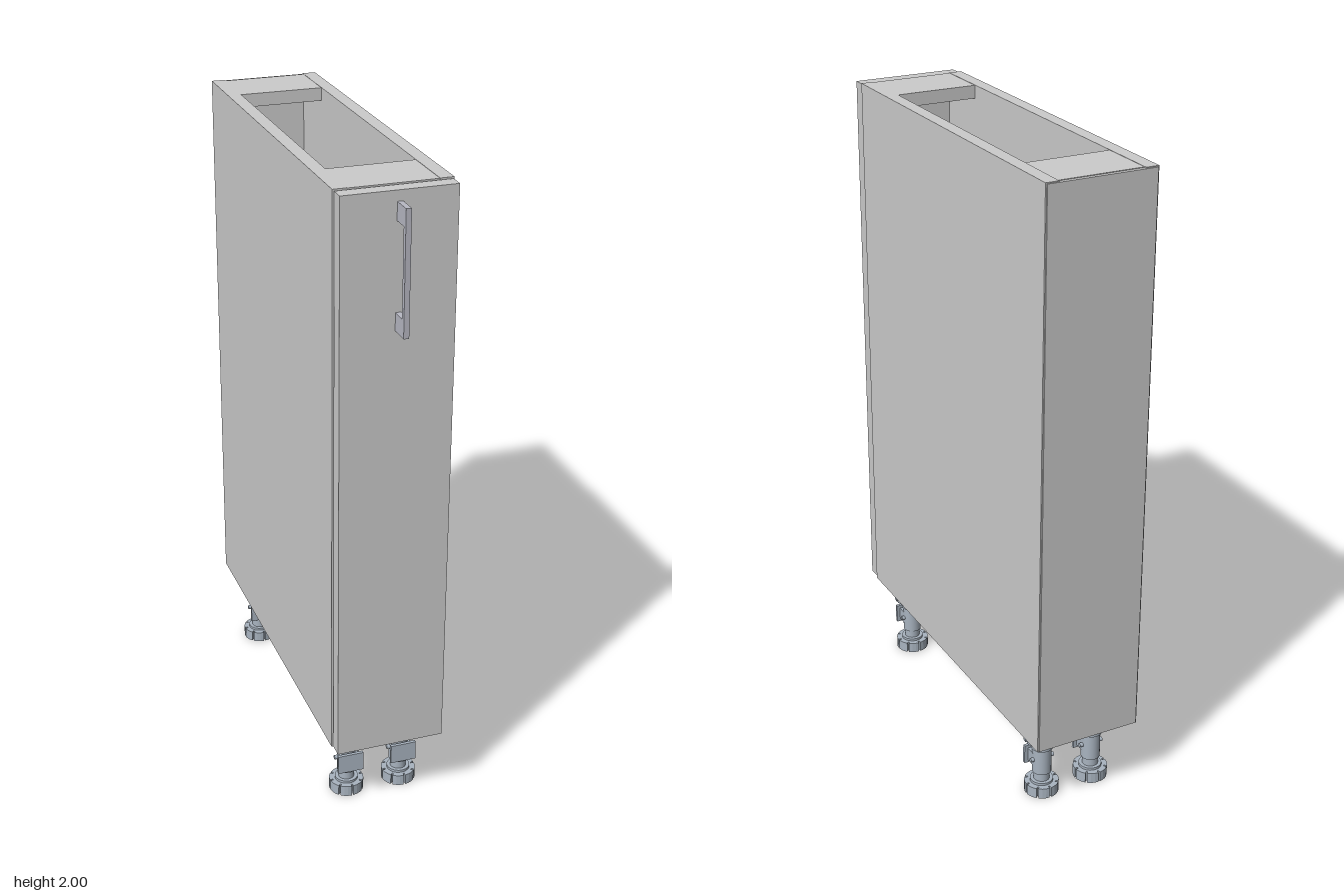
import * as THREE from 'three';

const grey = new THREE.MeshStandardMaterial({ color: 0xcccccc });
const metal = new THREE.MeshStandardMaterial({ color: 0xa9b4c0 });
const facetedMetal = new THREE.MeshStandardMaterial({ color: 0xa9b4c0, flatShading: true });
const steel = new THREE.MeshStandardMaterial({ color: 0xb8b9c4 });

function add(parent, name, geometry, material, x = 0, y = 0, z = 0) {
  const mesh = new THREE.Mesh(geometry, material);
  mesh.name = name;
  mesh.position.set(x, y, z);
  parent.add(mesh);
  return mesh;
}

// Box given by its limits on each axis
function box(parent, name, material, [x0, x1], [y0, y1], [z0, z1]) {
  return add(parent, name, new THREE.BoxGeometry(x1 - x0, y1 - y0, z1 - z0), material,
    (x0 + x1) / 2, (y0 + y1) / 2, (z0 + z1) / 2);
}

function cylinder(parent, name, radius, y0, y1, sides = 24) {
  return add(parent, name, new THREE.CylinderGeometry(radius, radius, y1 - y0, sides), metal, 0, (y0 + y1) / 2, 0);
}

// Disc with square notches around its rim, standing from y0 to y1
function notchedDisc(parent, name, radius, inner, teeth, y0, y1) {
  const shape = new THREE.Shape();
  for (let i = 0; i < teeth; i++) {
    const a = (i / teeth) * Math.PI * 2, step = (Math.PI * 2) / teeth;
    for (const [t, r] of [[0, inner], [0.14, inner], [0.14, radius], [0.43, radius], [0.72, radius], [1, radius]]) {
      const x = r * Math.cos(a + t * step), y = r * Math.sin(a + t * step);
      if (i === 0 && t === 0) shape.moveTo(x, y); else shape.lineTo(x, y);
    }
  }
  shape.closePath();
  const geometry = new THREE.ExtrudeGeometry(shape, { depth: y1 - y0, bevelEnabled: false });
  geometry.rotateX(-Math.PI / 2);
  return add(parent, name, geometry, facetedMetal, 0, y0, 0);
}

// Adjustable foot with a plinth clip facing the front
function createLeg() {
  const leg = new THREE.Group();
  leg.name = 'leg';
  notchedDisc(leg, 'footPad', 0.054, 0.044, 8, 0, 0.035);
  cylinder(leg, 'footCollar', 0.036, 0.035, 0.043);
  cylinder(leg, 'threadedStem', 0.025, 0.04, 0.08);
  cylinder(leg, 'post', 0.03, 0.07, 0.19);
  cylinder(leg, 'socketCollar', 0.035, 0.158, 0.18);
  notchedDisc(leg, 'mountingFlange', 0.058, 0.047, 6, 0.19, 0.238);
  box(leg, 'clipPlate', metal, [-0.041, 0.041], [0.085, 0.148], [0.035, 0.045]);
  box(leg, 'clipArm', metal, [-0.03, 0.03], [0.095, 0.138], [0.0, 0.036]);
  for (const s of [-1, 1]) {
    const lug = add(leg, 'postLug', new THREE.CylinderGeometry(0.007, 0.007, 0.012, 12), metal, s * 0.034, 0.117, 0);
    lug.rotation.z = Math.PI / 2;
  }
  return leg;
}

// D-shaped pull handle, extruded across its narrow width
function createHandle() {
  const shape = new THREE.Shape([[0, 1.6], [0.065, 1.6], [0.065, 1.965], [0, 1.965],
    [0, 1.912], [0.05, 1.912], [0.05, 1.653], [0, 1.653]].map(p => new THREE.Vector2(...p)));
  const geometry = new THREE.ExtrudeGeometry(shape, { depth: 0.016, bevelEnabled: false });
  geometry.rotateY(-Math.PI / 2);
  return geometry;
}

export function createModel() {
  const cabinet = new THREE.Group();
  cabinet.name = 'cabinet';

  // Carcass: sides, floor, back and the two top rails
  for (const s of [-1, 1]) {
    box(cabinet, 'sidePanel', grey, s < 0 ? [-0.172, -0.131] : [0.131, 0.172], [0.24, 2], [-0.643, 0.535]);
  }
  box(cabinet, 'bottomPanel', grey, [-0.131, 0.131], [0.242, 0.282], [-0.635, 0.534]);
  box(cabinet, 'backPanel', grey, [-0.168, 0.168], [0.243, 1.997], [-0.647, -0.635]);
  box(cabinet, 'topRailBack', grey, [-0.131, 0.131], [1.958, 1.999], [-0.635, -0.455]);
  box(cabinet, 'topRailFront', grey, [-0.131, 0.131], [1.958, 1.999], [0.355, 0.534]);

  // Door and handle
  box(cabinet, 'door', grey, [-0.168, 0.168], [0.243, 1.996], [0.539, 0.583]);
  add(cabinet, 'handle', createHandle(), steel, 0.008, 0, 0.582);

  // Pull-out trays with side rails
  for (const y of [0.36, 1.0]) {
    const tray = new THREE.Group();
    tray.name = 'pullOutTray';
    tray.position.y = y;
    cabinet.add(tray);
    box(tray, 'trayFloor', metal, [-0.1, 0.1], [0, 0.012], [-0.55, 0.5]);
    for (const s of [-1, 1]) {
      box(tray, 'traySide', metal, s < 0 ? [-0.113, -0.098] : [0.098, 0.113], [0, 0.13], [-0.55, 0.5]);
      box(tray, 'slideRail', steel, s < 0 ? [-0.119, -0.113] : [0.113, 0.119], [0.02, 0.06], [-0.55, 0.5]);
    }
    for (const z of [-0.55, 0.488]) {
      box(tray, 'trayEnd', metal, [-0.098, 0.098], [0, 0.13], [z, z + 0.012]);
    }
    box(tray, 'slideBracket', steel, [-0.131, -0.118], [0.01, 0.08], [-0.08, 0.07]);
  }

  // Four adjustable legs
  for (const x of [-0.087, 0.087]) {
    for (const z of [0.43, -0.518]) {
      const leg = createLeg();
      leg.position.set(x, 0, z);
      cabinet.add(leg);
    }
  }
  return cabinet;
}
